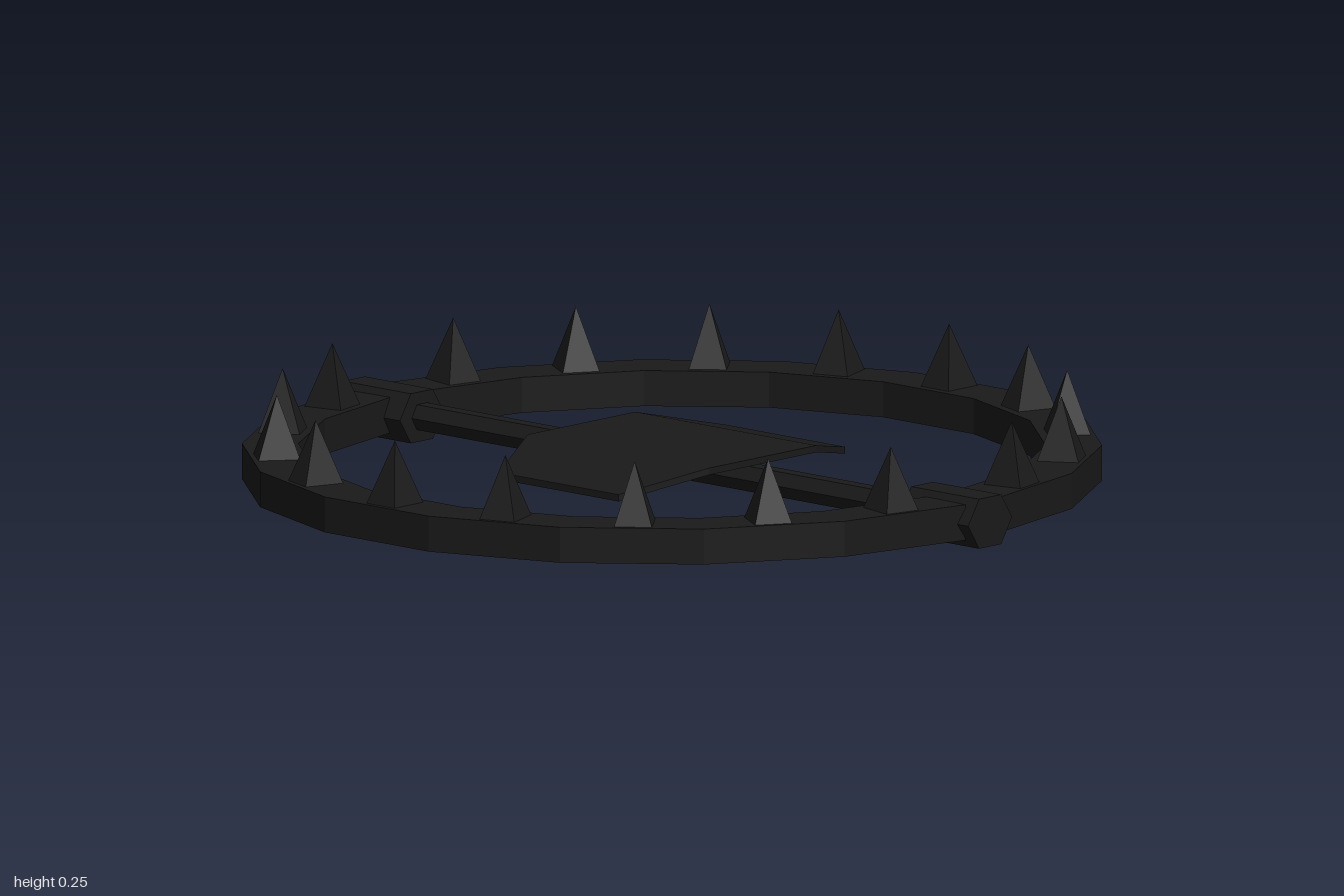
import * as THREE from 'three';

const STEP = THREE.MathUtils.degToRad(19.35);
const iron = new THREE.MeshStandardMaterial({ color: 0x1a1a1a, flatShading: true });

function addPart(parent, name, geometry) {
  const mesh = new THREE.Mesh(geometry, iron);
  mesh.name = name;
  parent.add(mesh);
  return mesh;
}

// Angle is measured from the middle of the jaw; the jaw is slightly narrower in x.
const onJaw = (angle, r) => new THREE.Vector2(Math.sin(angle) * r * 0.968, Math.cos(angle) * r);

// Faceted half ring
function jawGeometry() {
  const points = [];
  for (let i = -4.5; i <= 4.5; i++) points.push(onJaw(i * STEP, 1.004));
  for (let i = 4.5; i >= -4.5; i--) points.push(onJaw(i * STEP, 0.872));
  const geo = new THREE.ExtrudeGeometry(new THREE.Shape(points), { depth: 0.083, bevelEnabled: false });
  return geo.rotateX(-Math.PI / 2).translate(0, 0.027, 0);
}

// Four-sided tooth
function toothGeometry() {
  const geo = new THREE.ConeGeometry(Math.SQRT1_2, 0.15, 4, 1);
  return geo.rotateY(Math.PI / 4).scale(0.09, 1, 0.1).translate(0, 0.18, 0);
}

// Hexagonal bar along x with a corner at the top
function hexBar(radius, length) {
  return new THREE.CylinderGeometry(radius, radius, length, 6).rotateZ(Math.PI / 2);
}

// Chamfered plate: flat middle, both ends bent down
function plateGeometry() {
  const rows = [
    { z: -0.38, half: 0.188, y: 0.066 },
    { z: -0.18, half: 0.285, y: 0.112 },
    { z: 0.18, half: 0.285, y: 0.112 },
    { z: 0.38, half: 0.188, y: 0.066 },
  ];
  const geo = new THREE.BoxGeometry(2, 1, 3, 1, 1, 3);
  const pos = geo.attributes.position;
  for (let i = 0; i < pos.count; i++) {
    const row = rows[Math.round(pos.getZ(i) + 1.5)];
    pos.setXYZ(i, pos.getX(i) * row.half, row.y + pos.getY(i) * 0.016, row.z);
  }
  geo.computeVertexNormals();
  return geo;
}

export function createModel() {
  const model = new THREE.Group();
  model.name = 'jawTrap';

  // Two toothed jaws, front and back
  const jawGeo = jawGeometry();
  const toothGeo = toothGeometry();
  for (const [name, turn] of [['backJaw', 0], ['frontJaw', Math.PI]]) {
    const jaw = new THREE.Group();
    jaw.name = name;
    jaw.rotation.y = turn;
    addPart(jaw, 'jawBar', jawGeo);
    for (let i = -4; i <= 4; i++) {
      const p = onJaw(i * STEP, 0.929);
      const tooth = addPart(jaw, 'tooth', toothGeo);
      tooth.position.set(p.x, 0, -p.y);
      tooth.rotation.y = -i * STEP;
    }
    model.add(jaw);
  }

  // Cross rod and the hinges at its ends
  addPart(model, 'crossRod', hexBar(0.034, 1.7)).position.y = 0.067;
  for (const side of [-1, 1]) {
    const hinge = addPart(model, side > 0 ? 'leftHinge' : 'rightHinge', hexBar(0.067, 0.214));
    hinge.scale.z = 1.1;
    hinge.position.set(side * 0.893, 0.067, 0);
  }

  addPart(model, 'triggerPlate', plateGeometry());
  return model;
}
